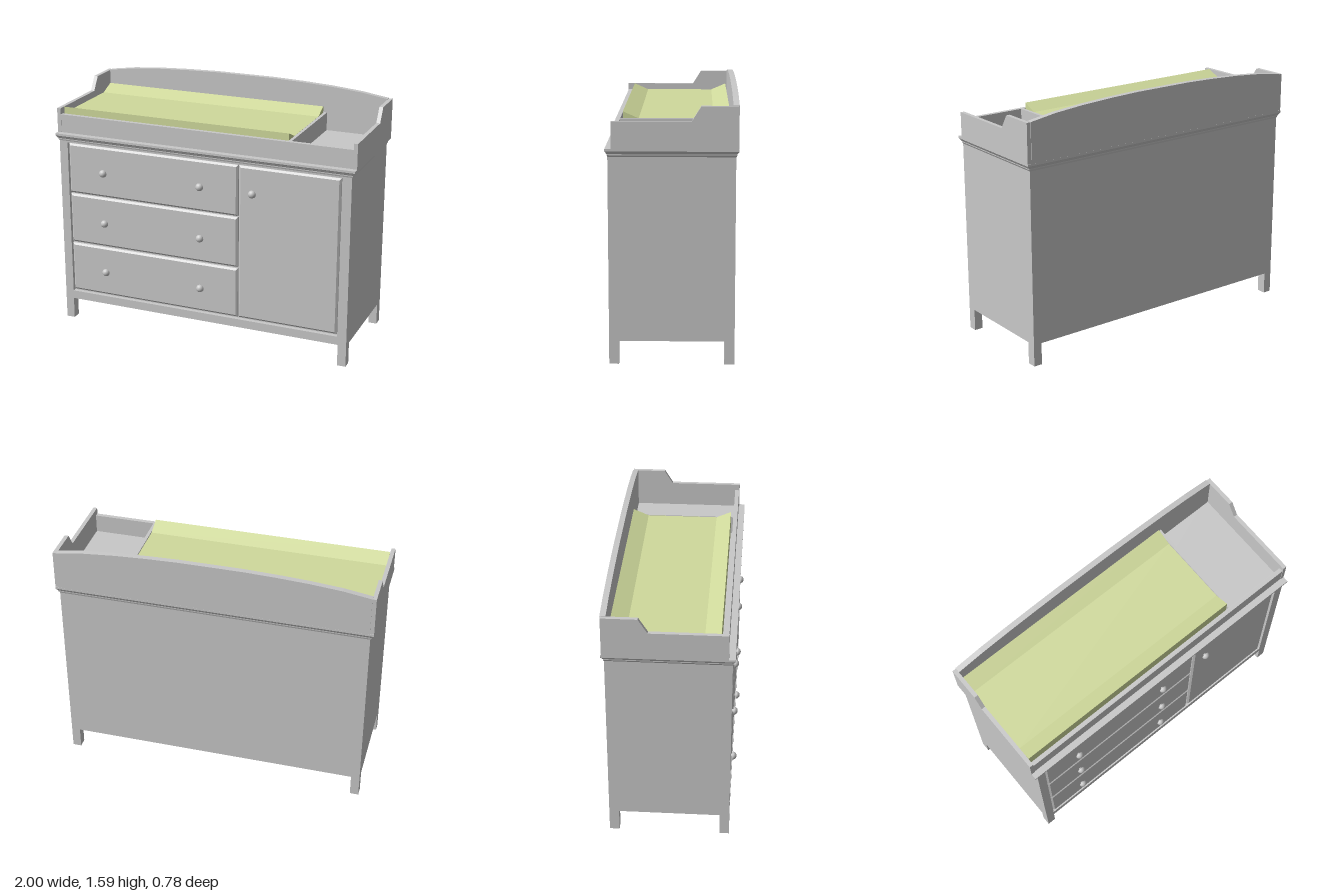
import * as THREE from 'three';

const paint = new THREE.MeshStandardMaterial({ color: 0xc8c8c8 });
paint.name = 'grey paint';
const fabric = new THREE.MeshStandardMaterial({ color: 0xd0da9c });
fabric.name = 'green fabric';

const shapeOf = (pts) => new THREE.Shape(pts.map(([x, y]) => new THREE.Vector2(x, y)));

// Stack of centred rectangles [width, depth, height], closed at both ends
function stackedRects(levels) {
  const pos = [];
  const corners = levels.map(([w, d, y]) =>
    [[-w / 2, y, d / 2], [w / 2, y, d / 2], [w / 2, y, -d / 2], [-w / 2, y, -d / 2]]);
  const quad = (a, b, c, d) => pos.push(...a, ...b, ...c, ...a, ...c, ...d);
  for (let i = 0; i < corners.length - 1; i++) {
    for (let k = 0; k < 4; k++) {
      const n = (k + 1) % 4;
      quad(corners[i][k], corners[i][n], corners[i + 1][n], corners[i + 1][k]);
    }
  }
  const [b, t] = [corners[0], corners[corners.length - 1]];
  quad(b[3], b[2], b[1], b[0]);
  quad(t[0], t[1], t[2], t[3]);
  const geo = new THREE.BufferGeometry();
  geo.setAttribute('position', new THREE.Float32BufferAttribute(pos, 3));
  geo.computeVertexNormals();
  return geo;
}

export function createModel() {
  const model = new THREE.Group();
  model.name = 'changingTableDresser';

  const add = (name, geo, mat = paint) => {
    const mesh = new THREE.Mesh(geo, mat);
    mesh.name = name;
    model.add(mesh);
    return mesh;
  };
  // Box given by its limits on each axis
  const box = (name, x0, x1, y0, y1, z0, z1) =>
    add(name, new THREE.BoxGeometry(x1 - x0, y1 - y0, z1 - z0))
      .position.set((x0 + x1) / 2, (y0 + y1) / 2, (z0 + z1) / 2);
  // Outline drawn as (-z, y), extruded along x from x0 to x1
  const sideProfile = (name, pts, x0, x1, mat) => {
    const geo = new THREE.ExtrudeGeometry(shapeOf(pts.map(([z, y]) => [-z, y])),
      { depth: x1 - x0, bevelEnabled: false });
    geo.rotateY(Math.PI / 2);
    add(name, geo, mat).position.x = x0;
  };

  // Cabinet body, front frame and legs
  box('cabinetBody', -0.978, 0.978, 0.14, 1.25, -0.375, 0.335);
  const frame = shapeOf([[-0.978, 0.14], [0.978, 0.14], [0.978, 1.25], [-0.978, 1.25]]);
  frame.holes.push(new THREE.Path(
    [[-0.922, 0.195], [-0.922, 1.228], [0.918, 1.228], [0.918, 0.195]].map((p) => new THREE.Vector2(...p))));
  add('frontFrame', new THREE.ExtrudeGeometry(frame, { depth: 0.027, bevelEnabled: false })).position.z = 0.335;
  for (const x of [-0.978, 0.923]) {
    box('backLeg', x, x + 0.055, 0, 0.14, -0.375, -0.315);
    box('frontLeg', x, x + 0.055, 0, 0.14, 0.304, 0.362);
  }

  // Bevelled drawer and door fronts
  const panel = (name, x0, x1, y0, y1) => {
    const w = x1 - x0, h = y1 - y0;
    const geo = stackedRects([[w, h, 0], [w, h, 0.014], [w - 0.024, h - 0.024, 0.024]]);
    geo.rotateX(Math.PI / 2);
    add(name, geo).position.set((x0 + x1) / 2, (y0 + y1) / 2, 0.334);
  };
  // Mushroom knobs on short stems
  const knobProfile = [[0, 0.036], [0.009, 0.035], [0.017, 0.03], [0.023, 0.022], [0.025, 0.013],
    [0.022, 0.01], [0.01, 0.009], [0.01, 0]].reverse().map((p) => new THREE.Vector2(...p));
  const knob = (x, y) => {
    const geo = new THREE.LatheGeometry(knobProfile, 20);
    geo.rotateX(Math.PI / 2);
    add('knob', geo).position.set(x, y, 0.356);
  };
  [[0.207, 0.537, 0.368], [0.548, 0.88, 0.709], [0.889, 1.221, 1.051]].forEach(([y0, y1, ky]) => {
    panel('drawerFront', -0.917, 0.251, y0, y1);
    knob(-0.67, ky);
    knob(0, ky);
  });
  panel('doorFront', 0.257, 0.911, 0.207, 1.221);
  knob(0.35, 1.051);

  // Moulded top
  add('topMoulding', stackedRects([
    [1.956, 0.737, 1.235], [1.97, 0.745, 1.246], [1.97, 0.745, 1.252], [1.978, 0.752, 1.256],
    [1.99, 0.762, 1.265], [2, 0.77, 1.27], [2, 0.77, 1.284],
  ])).position.z = -0.0075;

  // Tray sides with the raised rear step
  const sideOutline = [[0.34, 1.28], [-0.388, 1.28], [-0.388, 1.53], [-0.175, 1.53], [-0.12, 1.442], [0.34, 1.442]];
  sideProfile('rightTraySide', sideOutline, -1, -0.975);
  sideProfile('leftTraySide', sideOutline, 0.975, 1);
  box('trayFrontRail', -0.975, 0.975, 1.28, 1.402, 0.31, 0.337);
  box('trayDivider', 0.56, 0.58, 1.28, 1.402, -0.357, 0.31);

  // Arched back panel
  const arch = [[-0.975, 1.532], [-0.8, 1.558], [-0.6, 1.575], [-0.4, 1.585], [-0.2, 1.591]];
  const back = shapeOf([[0.975, 1.28], ...arch.map(([x, y]) => [-x, y]), ...arch.slice().reverse(), [-0.975, 1.28]]);
  add('trayBack', new THREE.ExtrudeGeometry(back, { depth: 0.035, bevelEnabled: false })).position.z = -0.392;

  // Contoured pad, raised along its front and back edges
  sideProfile('changingPad',
    [[0.295, 1.285], [-0.348, 1.285], [-0.348, 1.442], [-0.25, 1.4], [0.2, 1.4], [0.295, 1.442]],
    -0.973, 0.557, fabric);

  return model;
}
